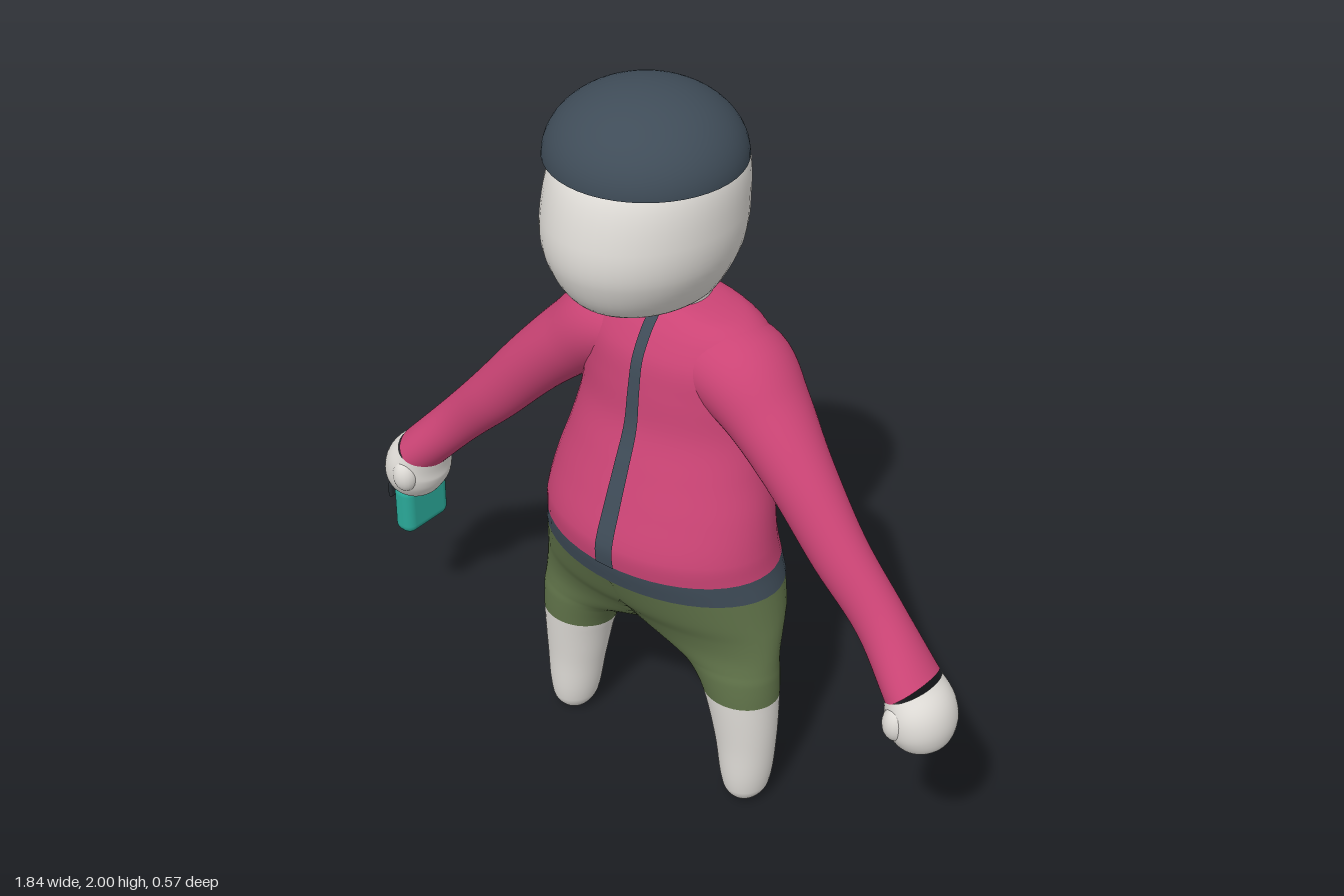
import * as THREE from 'three';
import { RoundedBoxGeometry } from 'three/addons/geometries/RoundedBoxGeometry.js';

const material = (name, color) => {
  const m = new THREE.MeshStandardMaterial({ color });
  m.name = name;
  return m;
};

// Smoothly fills in cross-sections [x, y, z, radius, depthRadius] between key indices a and b.
function sample(keys, a, b, steps = 6) {
  const s = [0];
  for (let i = 1; i < keys.length; i++) {
    s.push(s[i - 1] + Math.hypot(...keys[i].map((v, k) => v - keys[i - 1][k])));
  }
  const slope = (i, k) => {
    const lo = Math.max(i - 1, 0), hi = Math.min(i + 1, keys.length - 1);
    return (keys[hi][k] - keys[lo][k]) / (s[hi] - s[lo]);
  };
  const out = [];
  for (let i = a; i < b; i++) {
    const h = s[i + 1] - s[i];
    for (let j = i === a ? 0 : 1; j <= steps; j++) {
      const t = j / steps, t2 = t * t, t3 = t2 * t;
      out.push(keys[i].map((p, k) =>
        (2 * t3 - 3 * t2 + 1) * p + (t3 - 2 * t2 + t) * h * slope(i, k) +
        (3 * t2 - 2 * t3) * keys[i + 1][k] + (t3 - t2) * h * slope(i + 1, k)));
    }
  }
  return out;
}

// Skins elliptical cross-sections. follow: rings turn with the path; half: keep x >= 0; mirror: flip to -x.
function loft(rows, { follow = false, half = false, mirror = false } = {}) {
  const n = 48, pos = [], index = [];
  rows.forEach(([x, y, z, r, rz], i) => {
    let ux = 1, uy = 0;
    if (follow) {
      const p = rows[Math.max(i - 1, 0)], q = rows[Math.min(i + 1, rows.length - 1)];
      const len = Math.hypot(q[0] - p[0], q[1] - p[1]);
      ux = (q[1] - p[1]) / len;
      uy = -(q[0] - p[0]) / len;
    }
    for (let j = 0; j < n; j++) {
      const c = Math.cos(j / n * Math.PI * 2) * r, d = Math.sin(j / n * Math.PI * 2) * rz;
      const px = half ? Math.max(x + ux * c, 0) : x + ux * c;
      pos.push(mirror ? -px : px, y + uy * c, z - d);
    }
  });
  for (let i = 0; i < rows.length - 1; i++) {
    for (let j = 0; j < n; j++) {
      const a = i * n + j, b = i * n + (j + 1) % n, c = a + n, d = b + n;
      if (half && [a, b, c, d].every(v => Math.abs(pos[v * 3]) < 1e-5)) continue;
      if (mirror) index.push(a, c, b, b, c, d);
      else index.push(a, b, c, b, d, c);
    }
  }
  const g = new THREE.BufferGeometry();
  g.setAttribute('position', new THREE.Float32BufferAttribute(pos, 3));
  g.setIndex(index);
  g.computeVertexNormals();
  return g;
}

const TORSO = [
  [0, 0.68, -0.058, 0.35, 0.222], [0, 0.74, -0.05, 0.336, 0.228], [0, 0.8, -0.043, 0.328, 0.223],
  [0, 0.9, -0.058, 0.31, 0.205], [0, 1.0, -0.078, 0.284, 0.188], [0, 1.1, -0.1, 0.268, 0.175],
  [0, 1.2, -0.11, 0.268, 0.172], [0, 1.28, -0.115, 0.272, 0.163], [0, 1.34, -0.122, 0.25, 0.14],
  [0, 1.375, -0.124, 0.2, 0.115], [0, 1.392, -0.124, 0.13, 0.097], [0, 1.402, -0.122, 0.07, 0.08],
];
const HEAD = [
  [0, 1.36, -0.12, 0.075, 0.082], [0, 1.415, -0.112, 0.073, 0.085], [0, 1.45, -0.05, 0.11, 0.15],
  [0, 1.5, 0.002, 0.16, 0.217], [0, 1.6, 0.02, 0.215, 0.26], [0, 1.7, 0.018, 0.23, 0.267],
  [0, 1.83, 0.002, 0.212, 0.24], [0, 1.92, 0.01, 0.11, 0.11], [0, 1.93, 0.01, 0, 0],
];
const LEG = [
  [0.295, 0.004, -0.037, 0, 0], [0.295, 0.006, -0.037, 0.03, 0.035], [0.295, 0.05, -0.037, 0.059, 0.066],
  [0.288, 0.2, -0.04, 0.082, 0.08], [0.27, 0.35, -0.038, 0.105, 0.092], [0.245, 0.42, -0.038, 0.13, 0.097],
  [0.215, 0.45, -0.04, 0.158, 0.1], [0.14, 0.5, -0.045, 0.231, 0.117], [0.084, 0.55, -0.053, 0.284, 0.148],
  [0.04, 0.6, -0.06, 0.322, 0.188], [0, 0.68, -0.058, 0.35, 0.222],
];
const ARM = [
  [0.08, 1.275, -0.115, 0.1, 0.13], [0.2, 1.25, -0.11, 0.118, 0.138], [0.3, 1.175, -0.09, 0.1, 0.115],
  [0.42, 1.06, -0.06, 0.085, 0.086], [0.55, 0.915, -0.04, 0.075, 0.07], [0.68, 0.78, -0.035, 0.066, 0.066],
  [0.8, 0.65, -0.012, 0.064, 0.088],
];
const HAND = [
  [0.8, 0.65, -0.012, 0.064, 0.088], [0.825, 0.6, -0.01, 0.083, 0.098], [0.836, 0.55, -0.012, 0.08, 0.094],
  [0.84, 0.505, -0.012, 0.055, 0.062], [0.842, 0.488, -0.012, 0, 0],
];

export function createModel() {
  const pink = material('jacket pink', 0xcb4475);
  const slate = material('slate trim', 0x3f4c58);
  const green = material('shorts green', 0x61744a);
  const skin = material('pale skin', 0xdfdcd7);
  const teal = material('pouch teal', 0x2aa898);
  const black = material('clip black', 0x252b30);

  const model = new THREE.Group();
  const add = (name, geometry, mat, parent = model) => {
    const mesh = new THREE.Mesh(geometry, mat);
    mesh.name = name;
    parent.add(mesh);
    return mesh;
  };

  // Jacket body, waistband and head
  add('waistband', loft(sample(TORSO, 0, 1)), slate);
  add('jacketBody', loft(sample(TORSO, 1, TORSO.length - 1)), pink);
  add('head', loft(sample(HEAD, 0, HEAD.length - 1)), skin);

  // Front zip: a thin strip following the jacket, narrower at the neck
  const rows = sample(TORSO, 1, TORSO.length - 1);
  const zip = new THREE.PlaneGeometry(1, 1, 1, rows.length - 1);
  const p = zip.attributes.position;
  rows.forEach(([, y, z, , rz], i) => {
    const w = 0.028 - 0.012 * Math.min((y - 0.74) / 0.55, 1);
    // plane rows run from top to bottom
    const v = (rows.length - 1 - i) * 2;
    p.setXYZ(v, -w, y + 0.002, z + rz + 0.004);
    p.setXYZ(v + 1, w, y + 0.002, z + rz + 0.004);
  });
  zip.computeVertexNormals();
  add('zip', zip, slate);

  // Cap: flattened dome with a flat underside
  const dome = new THREE.SphereGeometry(0.24, 48, 16, 0, Math.PI * 2, 0, Math.PI / 2);
  add('capDome', dome.scale(1, 0.17 / 0.24, 1).translate(0, 1.83, 0.018), slate);
  add('capUnderside', new THREE.CircleGeometry(0.24, 48).rotateX(Math.PI / 2).translate(0, 1.83, 0.018), slate);

  // Limbs on both sides
  for (const [side, mirror] of [['left', false], ['right', true]]) {
    const s = mirror ? -1 : 1;
    add(side + 'Leg', loft(sample(LEG, 0, 4), { half: true, mirror }), skin);
    add(side + 'ShortsHalf', loft(sample(LEG, 4, LEG.length - 1), { half: true, mirror }), green);
    add(side + 'Sleeve', loft(sample(ARM, 0, ARM.length - 1), { follow: true, mirror }), pink);
    add(side + 'Hand', loft(sample(HAND, 0, HAND.length - 1), { follow: true, mirror }), skin);
    const thumb = add(side + 'Thumb', new THREE.SphereGeometry(0.036, 20, 14), skin);
    thumb.scale.set(1, 1.4, 1);
    thumb.position.set(0.808 * s, 0.59, 0.062);
  }

  // Small pouch hanging from the right hand
  const pouch = new THREE.Group();
  pouch.name = 'pouch';
  pouch.position.set(-0.87, 0.42, -0.05);
  model.add(pouch);
  add('pouchBody', new RoundedBoxGeometry(0.066, 0.155, 0.165, 4, 0.028), teal, pouch);
  add('pouchClip', new RoundedBoxGeometry(0.013, 0.046, 0.14, 3, 0.006), black, pouch).position.set(-0.047, 0.045, 0.005);
  add('clipMount', new THREE.BoxGeometry(0.02, 0.02, 0.04), black, pouch).position.set(-0.035, 0.045, 0.005);
  for (const x of [-0.014, 0.014]) {
    const path = new THREE.CatmullRomCurve3([[0.065, -0.055], [0.1, -0.05], [0.145, 0], [0.1, 0.05], [0.065, 0.055]]
      .map(([y, z]) => new THREE.Vector3(x, y, z)));
    add('pouchStrap', new THREE.TubeGeometry(path, 24, 0.008, 8), teal, pouch);
  }
  return model;
}
